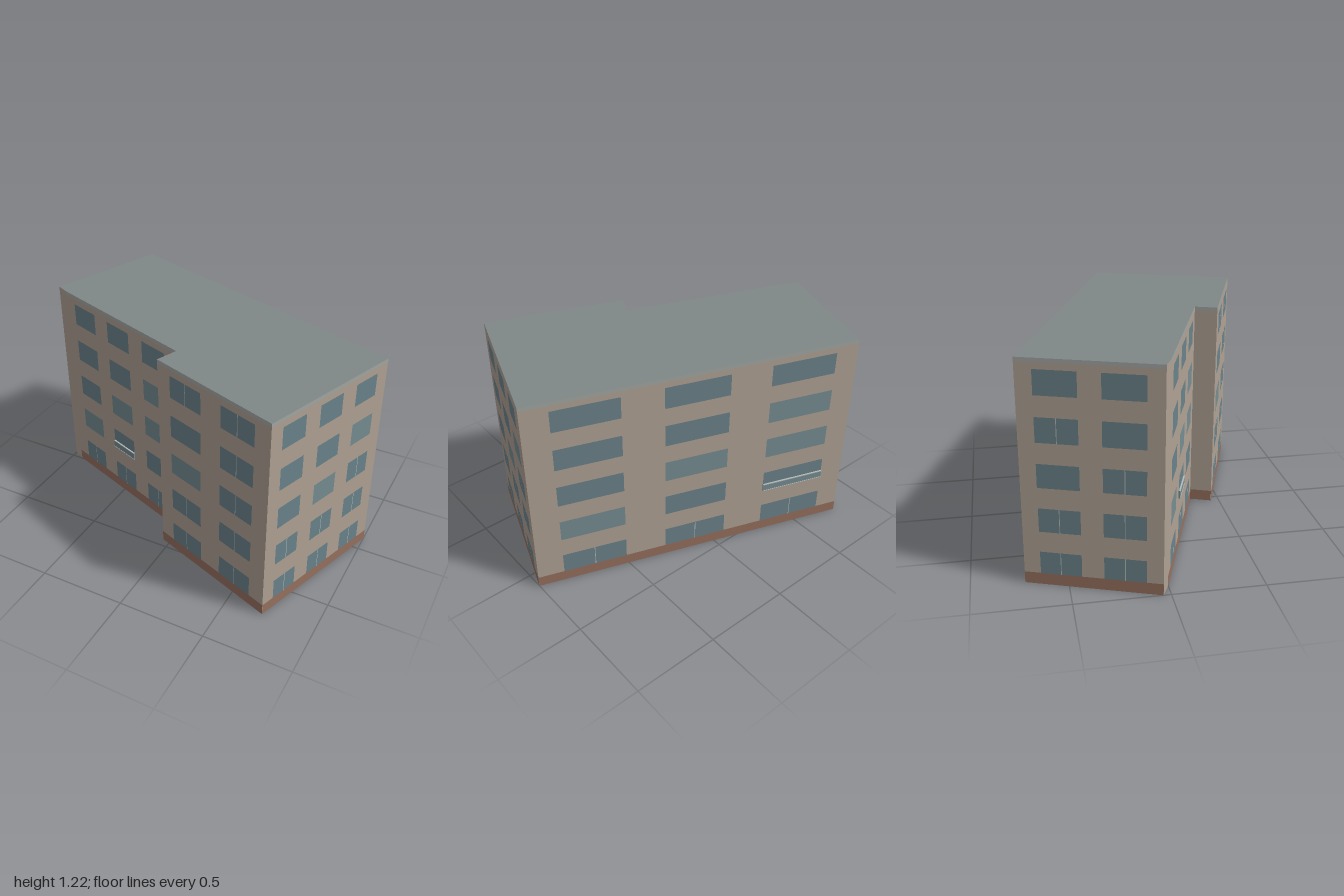
import * as THREE from 'three';

const HEIGHT = 1.22;
const PLINTH = 0.065;
const ROWS = [[0.065, 0.19], [0.305, 0.437], [0.55, 0.68], [0.792, 0.925], [1.035, 1.165]];

const mat = (color, side = THREE.FrontSide) => new THREE.MeshStandardMaterial({ color, side });
const M = {
  wall: mat(0xb0a294, THREE.DoubleSide),
  roof: mat(0x7f8886, THREE.DoubleSide),
  plinth: mat(0x96705f),
  trim: mat(0xa3a8a5),
  glass: mat(0x6b838b),
  paleGlass: mat(0x768d92),
  frame: mat(0xb4bcba),
};

// Footprint corners [x, z], in order around the building
const CORNERS = {
  westTip: [-1, -0.04], westFront: [-0.93, -0.005], innerStep: [0, 0.33], outerStep: [-0.045, 0.45],
  eastFront: [0.71, 0.72], eastBack: [1, -0.1], westBack: [-0.76, -0.72],
};

// Each wall: corners, window columns as fractions of its length, and one string
// per storey from the ground up: g glass, p pale glass, m with mullion, r with rail
const WALLS = [
  { name: 'cornerStrip', from: 'westTip', to: 'westFront', plain: true },
  { name: 'frontWestWall', from: 'westFront', to: 'innerStep',
    cols: [[0.086, 0.28], [0.398, 0.591], [0.71, 0.903]], rows: ['mmm', 'prg', 'gpp', 'ggp', 'ggg'] },
  { name: 'stepWall', from: 'innerStep', to: 'outerStep' },
  { name: 'frontEastWall', from: 'outerStep', to: 'eastFront',
    cols: [[0.12, 0.407], [0.587, 0.873]], rows: ['mm', 'mm', 'pm', 'gm', 'mm'] },
  { name: 'rightWall', from: 'eastFront', to: 'eastBack',
    cols: [[0.09, 0.28], [0.4, 0.595], [0.715, 0.905]], rows: ['mmm', 'mmm', 'gpm', 'ggp', 'ggg'] },
  { name: 'backWall', from: 'eastBack', to: 'westBack',
    cols: [[0.08, 0.277], [0.403, 0.6], [0.727, 0.93]], rows: ['mmm', 'pgr', 'gpp', 'ggp', 'ggg'] },
  { name: 'leftWall', from: 'westBack', to: 'westTip',
    cols: [[0.12, 0.42], [0.58, 0.88]], rows: ['mm', 'mm', 'gm', 'mg', 'gg'] },
];

// Flat rectangle on a wall, facing outwards
function panel(group, name, x0, x1, y0, y1, z, material) {
  const mesh = new THREE.Mesh(new THREE.PlaneGeometry(x1 - x0, y1 - y0), material);
  mesh.position.set((x0 + x1) / 2, (y0 + y1) / 2, z);
  mesh.name = name;
  group.add(mesh);
}

// Low glass rail with light bars at its top and bottom
function rail(group, x0, x1, y0) {
  const bar = (name, h, depth, y, material) => {
    const mesh = new THREE.Mesh(new THREE.BoxGeometry(x1 - x0, h, depth), material);
    mesh.position.set((x0 + x1) / 2, y, depth / 2);
    mesh.name = name;
    group.add(mesh);
  };
  bar('railGlass', 0.045, 0.008, y0 + 0.0225, M.paleGlass);
  bar('railTop', 0.005, 0.01, y0 + 0.045, M.frame);
  bar('railBottom', 0.004, 0.01, y0 + 0.002, M.frame);
}

function buildWall({ name, from, to, cols = [], rows = [], plain }) {
  const [ax, az] = CORNERS[from], [bx, bz] = CORNERS[to];
  const length = Math.hypot(bx - ax, bz - az);
  const group = new THREE.Group();
  group.name = name;
  group.position.set(ax, 0, az);
  group.rotation.y = Math.atan2(az - bz, bx - ax);

  panel(group, 'wall', 0, length, 0, HEIGHT, 0, M.wall);
  if (plain) return group;
  panel(group, 'plinth', 0, length, 0, PLINTH, 0.001, M.plinth);
  panel(group, 'eavesTrim', 0, length, 1.2, HEIGHT, 0.001, M.trim);

  rows.forEach((row, r) => cols.forEach(([u0, u1], c) => {
    const [y0, y1] = ROWS[r], x0 = u0 * length, x1 = u1 * length, mid = (x0 + x1) / 2;
    const kind = row[c];
    panel(group, 'window', x0, x1, y0, y1, 0.0015, kind === 'p' ? M.paleGlass : M.glass);
    if (kind === 'm') panel(group, 'mullion', mid - 0.002, mid + 0.002, y0, y1, 0.0025, M.frame);
    if (kind === 'r') rail(group, x0, x1, y0);
  }));
  return group;
}

export function createModel() {
  const model = new THREE.Group();
  model.name = 'apartmentBlock';
  WALLS.forEach((wall) => model.add(buildWall(wall)));

  // Flat roof over the whole footprint; the underside stays open
  const shape = new THREE.Shape(Object.values(CORNERS).map(([x, z]) => new THREE.Vector2(x, -z)));
  const roof = new THREE.Mesh(new THREE.ShapeGeometry(shape).rotateX(-Math.PI / 2), M.roof);
  roof.position.y = HEIGHT;
  roof.name = 'roof';
  model.add(roof);
  return model;
}
